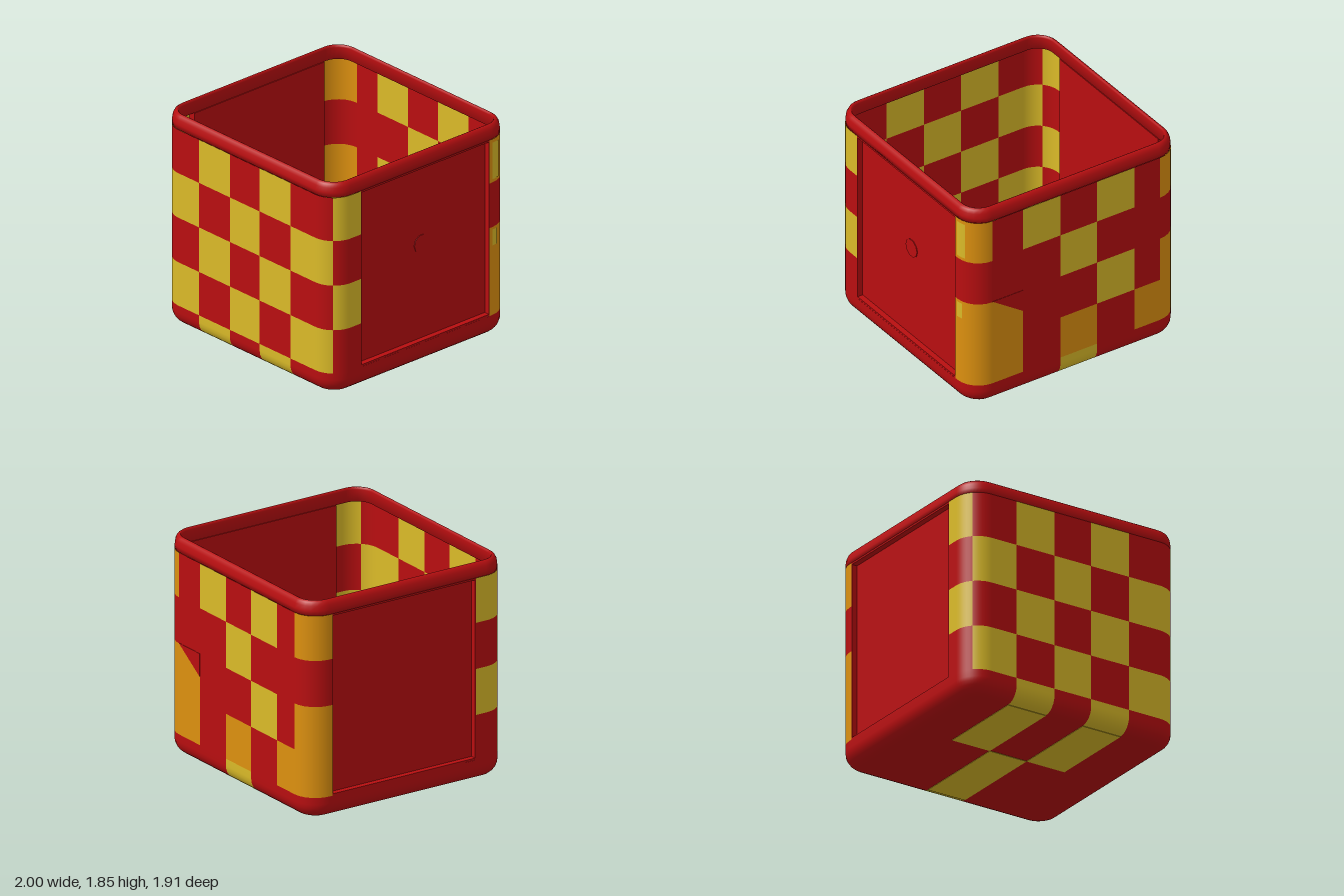
import * as THREE from 'three';

const paint = (name, color) => {
  const m = new THREE.MeshStandardMaterial({ color, side: THREE.DoubleSide });
  m.name = name;
  return m;
};

// Plan of the box: core rectangle plus corner radius
const CX = 0.8, CZ = 0.755, R = 0.2, TOP = 1.73, LOW = 0.19, FLOOR = 0.004;
const Z_FRONT = 0.65, Z_BACK = -0.73;   // ends of the side openings

// Perimeter points are [core x, core z, normal x, normal z]
const front = (a, b) => [[a, CZ, 0, 1], [b, CZ, 0, 1]];
const back = (a, b) => [[a, -CZ, 0, -1], [b, -CZ, 0, -1]];
const side = (s, a, b) => [[s * CX, a, s, 0], [s * CX, b, s, 0]];
const arc = (cx, cz, from, to) => {
  const pts = [];
  for (let i = 0; i <= 6; i++) {
    const t = (from + (to - from) * i / 6) * Math.PI / 2;
    pts.push([cx, cz, Math.sin(t), Math.cos(t)]);
  }
  return pts;
};

// Sweep a profile of [inset, y] points along a run of the perimeter
function sweep(path, profile, closed = false) {
  const pos = [], nor = [], idx = [], n = profile.length;
  for (const [cx, cz, nx, nz] of path) {
    profile.forEach(([d, y], j) => {
      const p = profile[j > 0 ? j - 1 : closed ? n - 2 : 0];
      const q = profile[j < n - 1 ? j + 1 : closed ? 1 : n - 1];
      const out = q[1] < p[1] || q[1] > p[1] ? p[1] - q[1] : 0, up = p[0] - q[0];
      const l = Math.hypot(out, up) || 1;
      pos.push(cx + nx * (R - d), y, cz + nz * (R - d));
      nor.push(nx * out / l, up / l, nz * out / l);
    });
  }
  for (let i = 0; i < path.length - 1; i++) {
    for (let j = 0; j < n - 1; j++) {
      const a = i * n + j, b = a + 1, c = a + n, d = c + 1;
      idx.push(a, b, c, b, d, c);
    }
  }
  const g = new THREE.BufferGeometry();
  g.setAttribute('position', new THREE.Float32BufferAttribute(pos, 3));
  g.setAttribute('normal', new THREE.Float32BufferAttribute(nor, 3));
  g.setIndex(idx);
  return g;
}

export function createModel() {
  const red = paint('red', 0xb80e10);
  const yellow = paint('yellow', 0xdaba28);
  const orange = paint('orange', 0xdc900f);
  const colours = { r: red, y: yellow, o: orange };
  const model = new THREE.Group();
  model.name = 'checkeredBin';

  const add = (name, geometry, material, parent = model) => {
    const m = new THREE.Mesh(geometry, material);
    m.name = name;
    parent.add(m);
    return m;
  };
  const box = (name, w, h, d, x, y, z, material, parent) =>
    add(name, new THREE.BoxGeometry(w, h, d), material, parent).position.set(x, y, z);

  // Wall columns around the box: run, colours from top row down, bottom edge colour
  const columns = [
    [[...arc(-CX, CZ, -0.5, 0), ...front(-CX, -0.56)], 'ryry', 'r'],
    [front(-0.56, -0.2), 'yryr', 'y'],
    [front(-0.2, 0.15), 'ryry', 'r'],
    [front(0.15, 0.51), 'yryr', 'y'],
    [[...front(0.51, CX), ...arc(CX, CZ, 0, 0.5)], 'ryry', 'r'],
    [[...arc(CX, CZ, 0.5, 1), ...side(1, CZ, Z_FRONT)], 'yryr', 'r'],
    [side(1, Z_FRONT, Z_BACK), '', 'r'],
    [[...side(1, Z_BACK, -CZ), ...arc(CX, -CZ, 1, 2)], 'oroo', 'r'],
    [back(CX, 0.51), 'rroo', 'r'],
    [back(0.51, 0.15), 'yrrr', 'r'],
    [back(0.15, -0.2), 'ryro', 'y'],
    [back(-0.2, -0.56), 'yryr', 'r'],
    [back(-0.56, -CX), 'rrro', 'r'],
    [[...arc(-CX, -CZ, 2, 3), ...side(-1, -CZ, Z_BACK)], 'oroo', 'r'],
    [side(-1, Z_BACK, Z_FRONT), '', 'r'],
    [[...side(-1, Z_FRONT, CZ), ...arc(-CX, CZ, 3, 3.5)], 'yryr', 'r'],
  ];
  const rows = [TOP, 1.35, 0.96, 0.57, LOW];

  // Rounded edge between walls and floor
  const edge = [[0, LOW], [0, 0.13]];
  for (let i = 1; i <= 6; i++) {
    const t = i / 6 * Math.PI / 2;
    edge.push([0.12 * (1 - Math.cos(t)), 0.13 - (0.13 - FLOOR) * Math.sin(t)]);
  }

  const walls = new THREE.Group();
  walls.name = 'walls';
  model.add(walls);
  for (const [path, pattern, bottom] of columns) {
    [...pattern].forEach((c, i) =>
      add('wallSquare', sweep(path, [[0, rows[i]], [0, rows[i + 1]]]), colours[c], walls));
    add('bottomEdge', sweep(path, edge), colours[bottom], walls);
  }

  // Clipped corner of the big patch on the back
  const clip = new THREE.Shape([[0.8, 0.965], [0.51, 0.965], [0.51, 0.77]].map(p => new THREE.Vector2(...p)));
  add('backPatchCorner', new THREE.ExtrudeGeometry(clip, { depth: 0.006, bevelEnabled: false }), red, walls)
    .position.z = -CZ - R - 0.003;

  // Worn patches on the rear corner
  for (const [y, h, sweepAngle] of [[1.54, 0.32, 0.42], [0.87, 0.14, 0.26]]) {
    add('cornerPatch', new THREE.CylinderGeometry(R + 0.004, R + 0.004, h, 5, 1, true, Math.PI / 2 + 0.02, sweepAngle), yellow, walls)
      .position.set(CX, y, -CZ);
  }

  // Rolled rim
  const whole = columns.flatMap(c => c[0]);
  whole.push(whole[0]);
  const rim = [[0.055, TOP], [0.055, 1.83], [0.05, 1.845], [0.04, 1.85], [0.022, 1.837],
    [0.008, 1.81], [0.002, 1.77], [0.002, TOP], [0.055, TOP]];
  add('rim', sweep(whole, rim, true), red);

  // Floor with yellow strips
  const outline = whole.map(([cx, cz, nx, nz]) => new THREE.Vector2(cx + nx * (R - 0.12), -cz - nz * (R - 0.12)));
  const floor = new THREE.ShapeGeometry(new THREE.Shape(outline.slice(0, -1)));
  add('floor', floor.rotateX(-Math.PI / 2).translate(0, FLOOR, 0), red);
  const zEnd = CZ + R - 0.12;
  for (const [x0, x1, z0, z1] of [[-0.2, 0.15, -zEnd, 0.04], [-0.56, -0.2, 0.04, zEnd], [0.15, 0.51, 0.04, zEnd]]) {
    box('floorStrip', x1 - x0, 0.008, z1 - z0, (x0 + x1) / 2, FLOOR, (z0 + z1) / 2, yellow);
  }

  // Recessed side panels with their surrounds
  const zMid = (Z_FRONT + Z_BACK) / 2, zLen = Z_FRONT - Z_BACK, yMid = (TOP + LOW) / 2, yLen = TOP - LOW;
  for (const s of [1, -1]) {
    const panel = new THREE.Group();
    panel.name = s > 0 ? 'leftPanel' : 'rightPanel';
    model.add(panel);
    box('panel', 0.012, yLen, zLen, s * 0.944, yMid, zMid, red, panel);
    for (const z of [Z_FRONT, Z_BACK]) box('panelJamb', 0.06, yLen, 0.012, s * 0.969, yMid, z, red, panel);
    for (const y of [LOW + 0.008, TOP - 0.008]) box('panelLedge', 0.06, 0.016, zLen, s * 0.969, y, zMid, red, panel);
  }

  // Small round boss on one panel
  const boss = add('panelBoss', new THREE.CylinderGeometry(0.08, 0.08, 0.008, 10), red);
  boss.rotation.z = Math.PI / 2;
  boss.position.set(0.952, 1.03, -0.045);

  return model;
}
